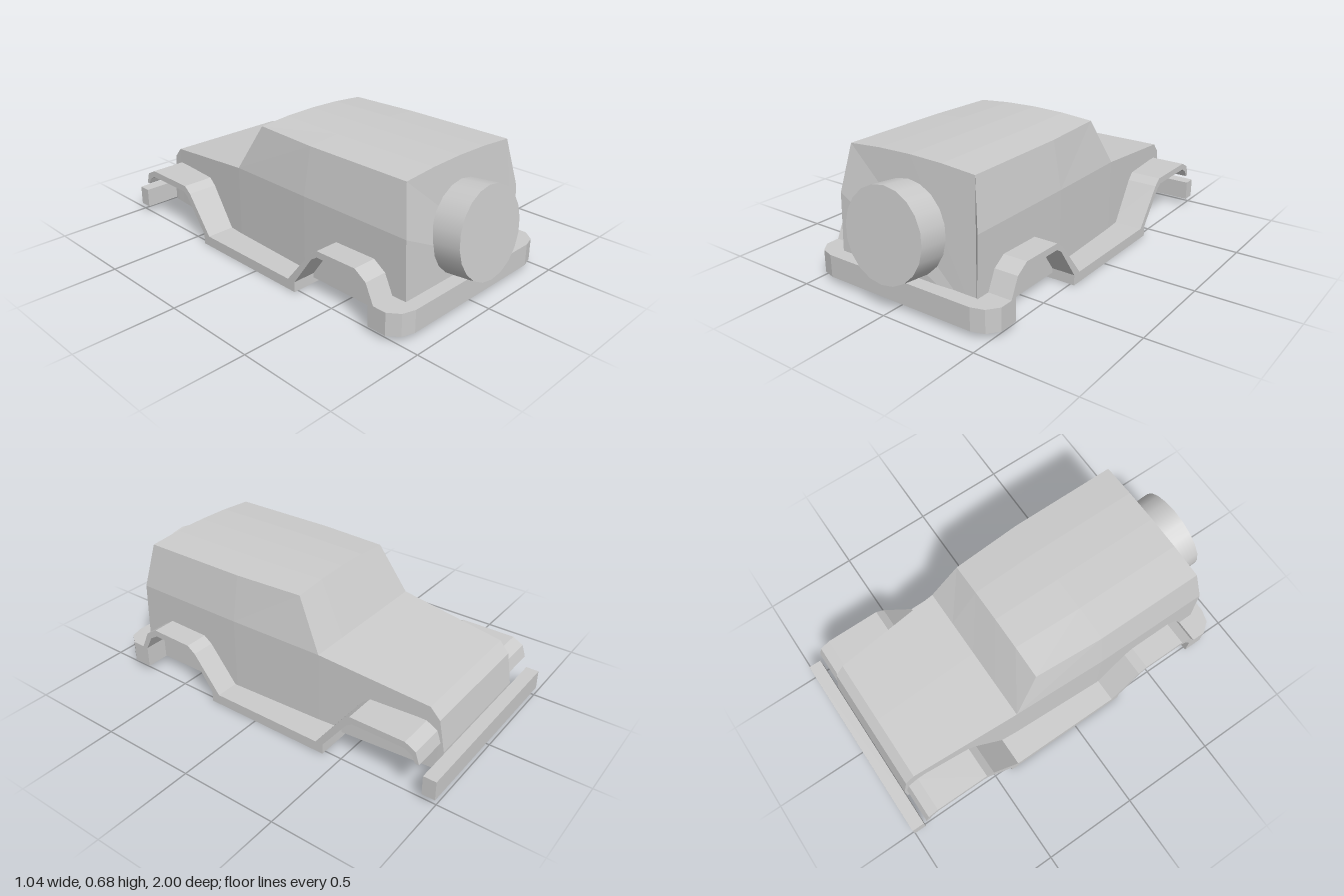
import * as THREE from 'three';

const mat = new THREE.MeshStandardMaterial({ color: 0xcccccc, flatShading: true });
const smooth = new THREE.MeshStandardMaterial({ color: 0xcccccc });

function part(name, geometry, material = mat) {
  const mesh = new THREE.Mesh(geometry, material);
  mesh.name = name;
  return mesh;
}

const toShape = (pts) => new THREE.Shape(pts.map(([a, b]) => new THREE.Vector2(a, b)));

// Cross-section: floor, belt and roof edge as [half width, y, z], plus roof crown height
function section(floor, belt, roof, crown) {
  const [w, y, z] = roof;
  const half = [floor, belt, roof, [w * 0.5, y + crown * 0.75, z]];
  const mirrored = half.map(([px, py, pz]) => [-px, py, pz]).reverse();
  return [...half, [0, y + crown, z], ...mirrored];
}

// Skin a row of equal-length sections and close both ends
function loft(sections) {
  const n = sections[0].length;
  const index = [];
  for (let i = 0; i < sections.length - 1; i++) {
    for (let j = 0; j < n; j++) {
      const a = i * n + j, b = i * n + (j + 1) % n;
      index.push(a, a + n, b + n, a, b + n, b);
    }
  }
  const last = (sections.length - 1) * n;
  for (let j = 1; j < n - 1; j++) {
    index.push(0, j, j + 1, last, last + j + 1, last + j);
  }
  const g = new THREE.BufferGeometry();
  g.setAttribute('position', new THREE.Float32BufferAttribute(sections.flat(2), 3));
  g.setIndex(index);
  const flat = g.toNonIndexed();
  flat.computeVertexNormals();
  return flat;
}

export function createModel() {
  const model = new THREE.Group();
  model.name = 'offRoadCarBody';

  // Cabin, windscreen and tapering bonnet in one shell
  const bonnet = (w, y, z) => section([w, 0.03, z], [w, y, z], [w, y, z], 0);
  model.add(part('bodyShell', loft([
    section([0.4, 0.03, 0.85], [0.4, 0.43, 0.835], [0.357, 0.665, 0.79], 0.018),
    section([0.4, 0.03, 0.22], [0.4, 0.43, 0.22], [0.357, 0.665, 0.22], 0.018),
    section([0.38, 0.03, -0.28], [0.38, 0.42, -0.28], [0.335, 0.665, -0.14], 0.018),
    bonnet(0.38, 0.42, -0.28),
    bonnet(0.336, 0.355, -0.85),
    bonnet(0.333, 0.3, -0.9),
    bonnet(0.33, 0.14, -0.93),
  ])));

  // Wheel-arch flares joined by the sill, drawn as [z, y]
  const upper = [
    [0.77, 0.14], [0.725, 0.235], [0.66, 0.277], [0.43, 0.272], [0.385, 0.24],
    [0.235, 0.053], [-0.37, 0.053], [-0.515, 0.247], [-0.555, 0.279],
    [-0.84, 0.279], [-0.895, 0.25], [-0.915, 0.19],
  ];
  const lower = [
    [-0.895, 0.19], [-0.88, 0.222], [-0.84, 0.245], [-0.57, 0.245], [-0.54, 0.225],
    [-0.41, 0.053], [-0.41, 0], [0.28, 0], [0.28, 0.053], [0.395, 0.217],
    [0.43, 0.24], [0.655, 0.243], [0.7, 0.215], [0.74, 0.14],
  ];
  for (const [name, outer] of [['leftFlareAndSill', 0.522], ['rightFlareAndSill', -0.34]]) {
    const g = new THREE.ExtrudeGeometry(toShape([...upper, ...lower]), { depth: 0.182, bevelEnabled: false });
    g.rotateY(-Math.PI / 2).translate(outer, 0, 0);
    model.add(part(name, g));
  }

  // Wraparound bumper under the spare wheel, drawn as [x, z]
  const corner = [[0.522, 0.74], [0.522, 0.84], [0.48, 0.895], [0.415, 0.915]];
  const plan = [...corner, ...corner.map(([x, z]) => [-x, z]).reverse()];
  const wrap = new THREE.ExtrudeGeometry(toShape(plan), { depth: 0.113, bevelEnabled: false });
  wrap.rotateX(Math.PI / 2).translate(0, 0.14, 0);
  model.add(part('wraparoundBumper', wrap));

  // Straight bumper ahead of the bonnet
  const bar = part('straightBumper', new THREE.BoxGeometry(1.03, 0.1, 0.066));
  bar.position.set(0, 0.086, -0.967);
  model.add(bar);

  // Spare wheel leaning with the tailgate
  const spare = part('spareWheel', new THREE.CylinderGeometry(0.222, 0.222, 0.15, 20), smooth);
  spare.rotation.x = Math.PI / 2 - 0.11;
  spare.position.set(0, 0.363, 0.902);
  model.add(spare);

  return model;
}
